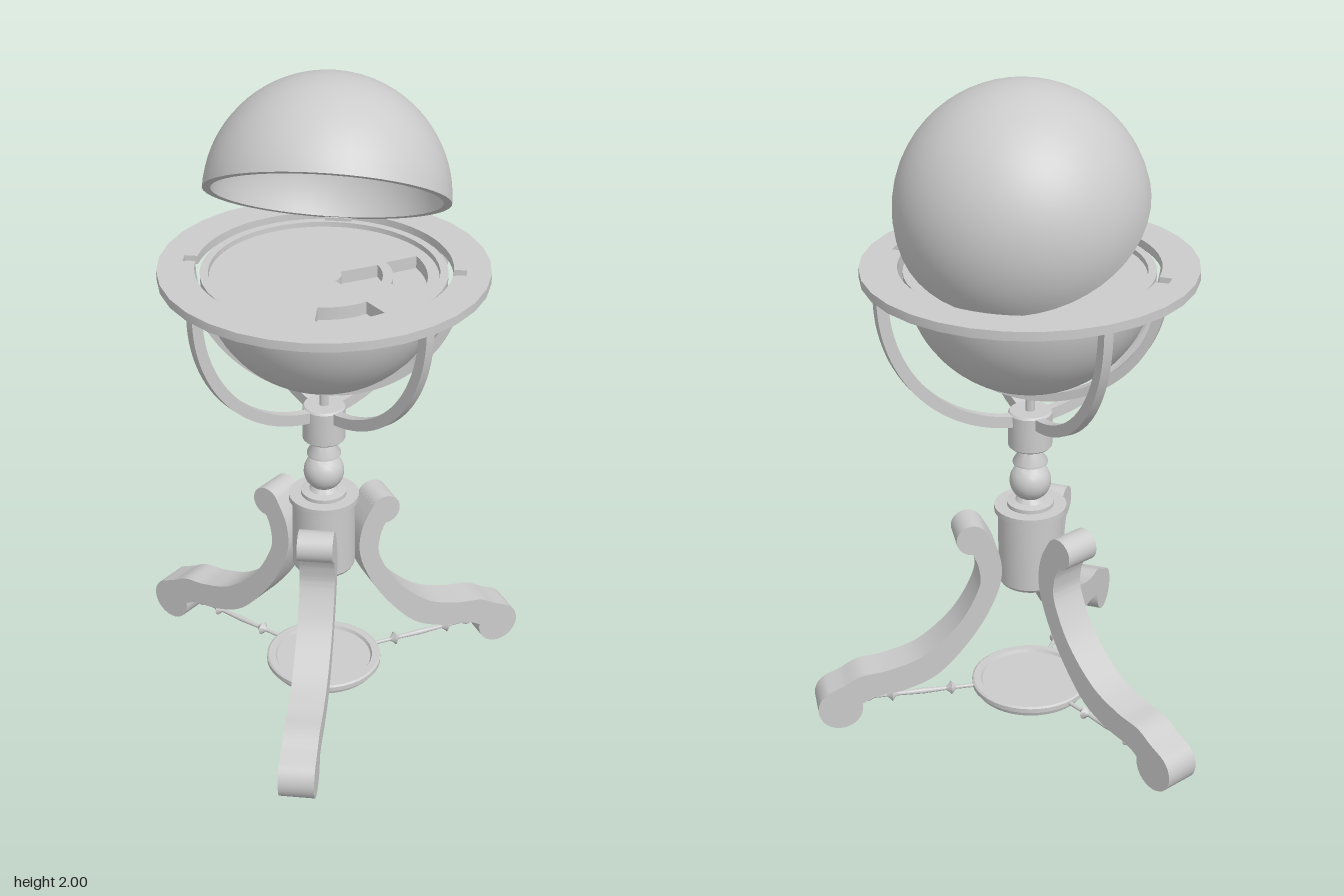
import * as THREE from 'three';
import { toCreasedNormals } from 'three/addons/utils/BufferGeometryUtils.js';

const AXIS_Z = -0.088; // the upright axis sits behind the middle of the footprint
const material = new THREE.MeshStandardMaterial({ color: 0xcccccc, side: THREE.DoubleSide });
const rad = THREE.MathUtils.degToRad;
const vec = (pts) => pts.map(([x, y]) => new THREE.Vector2(x, y));

function add(parent, name, geometry, crease = 0.6) {
  const mesh = new THREE.Mesh(toCreasedNormals(geometry, crease), material);
  mesh.name = name;
  parent.add(mesh);
  return mesh;
}

const lathe = (pts, segments = 32) => new THREE.LatheGeometry(vec(pts), segments);

const extrude = (shape, depth, curveSegments = 24) =>
  new THREE.ExtrudeGeometry(shape, { depth, bevelEnabled: false, curveSegments });

// Flat plate lying in the horizontal plane with its underside at y
const plate = (shape, y, depth, segments) =>
  extrude(shape, depth, segments).rotateX(-Math.PI / 2).translate(0, y, 0);

// Arc band in the XY plane, centred through z
function band(inner, outer, from, to, depth) {
  const shape = new THREE.Shape();
  shape.absarc(0, 0, outer, from, to, false);
  shape.absarc(0, 0, inner, to, from, true);
  return extrude(shape, depth, 28).translate(0, 0, -depth / 2);
}

// Hemispherical shell opening upward, optionally with a thin wall
function shell(outer, inner) {
  const pts = [];
  const n = 20;
  for (let i = 0; i <= n; i++) {
    const a = (i / n) * Math.PI / 2;
    pts.push([outer * Math.sin(a), -outer * Math.cos(a)]);
  }
  for (let i = n; i >= 0; i--) {
    const a = (i / n) * Math.PI / 2;
    pts.push([inner * Math.sin(a), -inner * Math.cos(a)]);
  }
  return lathe(pts, 48);
}

// Side profile of a scrolled leg, x measured outward from the axis
function legShape() {
  const s = new THREE.Shape();
  s.moveTo(0.185, 0.56);
  s.splineThru(vec([[0.167, 0.51], [0.169, 0.44], [0.233, 0.323], [0.339, 0.228],
    [0.444, 0.19], [0.53, 0.178], [0.585, 0.15], [0.625, 0.132]]));
  s.absarc(0.598, 0.07, 0.068, rad(62), rad(-189), true);
  s.splineThru(vec([[0.487, 0.1], [0.392, 0.116], [0.296, 0.159], [0.206, 0.254],
    [0.138, 0.36], [0.1, 0.466], [0.106, 0.556], [0.143, 0.632]]));
  s.absarc(0.185, 0.608, 0.048, rad(150), rad(-90), true);
  return s;
}

// Table ring with a notch on each side for the half meridian
function tableRingShape() {
  const s = new THREE.Shape();
  s.absarc(0, 0, 0.484, 0, Math.PI * 2, false);
  const hole = new THREE.Path();
  const r = 0.375, h = 0.02, deep = 0.412, a = Math.asin(h / r);
  hole.absarc(0, 0, r, a, Math.PI - a, false);
  hole.lineTo(-deep, h);
  hole.lineTo(-deep, -h);
  hole.absarc(0, 0, r, Math.PI + a, Math.PI * 2 - a, false);
  hole.lineTo(deep, -h);
  hole.lineTo(deep, h);
  hole.closePath();
  s.holes.push(hole);
  return s;
}

// Deck inside the bowl with sector-shaped wells (angles run from front to left)
function deckShape() {
  const s = new THREE.Shape();
  s.absarc(0, 0, 0.334, 0, Math.PI * 2, false);
  for (const [r0, r1, t0, t1] of [[0.21, 0.295, 2, 42], [0.05, 0.17, 45, 120], [0.2, 0.3, 80, 122]]) {
    const hole = new THREE.Path();
    hole.absarc(0, 0, r1, rad(t0 - 90), rad(t1 - 90), false);
    hole.absarc(0, 0, r0, rad(t1 - 90), rad(t0 - 90), true);
    hole.closePath();
    s.holes.push(hole);
  }
  return s;
}

export function createModel() {
  const model = new THREE.Group();
  model.name = 'globeBarCabinet';
  const body = new THREE.Group();
  body.name = 'stand';
  body.position.z = AXIS_Z;
  model.add(body);

  // Globe: bowl, deck and opened lid
  add(body, 'lowerBowl', shell(0.36, 0.336)).position.y = 1.44;
  add(body, 'deck', plate(deckShape(), 1.385, 0.04, 32));
  add(body, 'wellFloor', new THREE.CylinderGeometry(0.33, 0.33, 0.006, 32)).position.y = 1.383;

  const lid = add(body, 'upperLid', shell(0.36, 0.336).rotateX(Math.PI));
  lid.position.set(0, 1.643, -0.064);
  lid.rotation.x = -rad(34);
  add(body, 'lidHinge', new THREE.BoxGeometry(0.08, 0.012, 0.03)).position.set(0, 1.444, -0.36);

  // Table ring, half meridian and the four carrying arms
  add(body, 'tableRing', plate(tableRingShape(), 1.427, 0.027, 16));
  add(body, 'halfMeridian', band(0.38, 0.407, Math.PI, Math.PI * 2, 0.028)).position.y = 1.44;
  for (let i = 0; i < 4; i++) {
    const arm = add(body, 'supportArm', band(0.44, 0.475, -Math.PI / 2, 0, 0.028));
    arm.position.y = 1.428;
    arm.rotation.y = Math.PI / 4 + i * Math.PI / 2;
  }

  // Turned column
  add(body, 'meridianPin', new THREE.CylinderGeometry(0.014, 0.014, 0.06, 16)).position.y = 1.01;
  add(body, 'hub', lathe([[0, 0.88], [0.06, 0.88], [0.065, 0.885], [0.065, 0.99], [0.06, 0.996], [0, 0.996]]));
  add(body, 'neck', lathe([[0, 0.81], [0.03, 0.815], [0.052, 0.826], [0.052, 0.832], [0.034, 0.862],
    [0.03, 0.885], [0, 0.885]]));
  const ball = add(body, 'turnedBall', new THREE.SphereGeometry(0.062, 28, 18));
  ball.position.y = 0.766;
  add(body, 'columnCollar', lathe([[0, 0.668], [0.108, 0.668], [0.108, 0.686], [0.07, 0.686], [0.07, 0.698],
    [0.045, 0.702], [0.035, 0.715], [0, 0.715]]));
  add(body, 'columnDrum', lathe([[0, 0.4], [0.04, 0.4], [0.055, 0.41], [0.055, 0.43], [0.09, 0.43],
    [0.097, 0.44], [0.097, 0.668], [0, 0.668]]));

  // Three scrolled legs, each tied to the low tray by a beaded rod
  const bead = (r, w) => [[0.006, r - w], [0.012, r - w * 0.5], [0.021, r], [0.012, r + w * 0.5], [0.006, r + w]];
  const rodProfile = [[0, 0.16], [0.006, 0.16], ...bead(0.25, 0.016), [0.009, 0.34], ...bead(0.434, 0.016),
    [0.006, 0.49], [0.013, 0.505], [0.013, 0.515], [0.006, 0.525], [0.006, 0.56], [0, 0.56]];
  const shape = legShape();
  for (let i = 0; i < 3; i++) {
    const side = new THREE.Group();
    side.name = 'legAssembly';
    side.rotation.y = -Math.PI / 2 + i * Math.PI * 2 / 3;
    body.add(side);
    add(side, 'leg', extrude(shape, 0.108, 10).translate(0, 0, -0.054));
    add(side, 'stretcherRod', lathe(rodProfile, 12).rotateZ(-Math.PI / 2)).position.y = 0.068;
  }

  // Low round tray with a raised rim
  add(body, 'tray', lathe([[0, 0.054], [0.155, 0.054], [0.155, 0.044], [0.168, 0.044], [0.172, 0.056],
    [0.182, 0.062], [0.182, 0.076], [0.176, 0.08], [0.155, 0.08], [0.15, 0.07], [0, 0.07]], 40), 0.5);

  return model;
}
